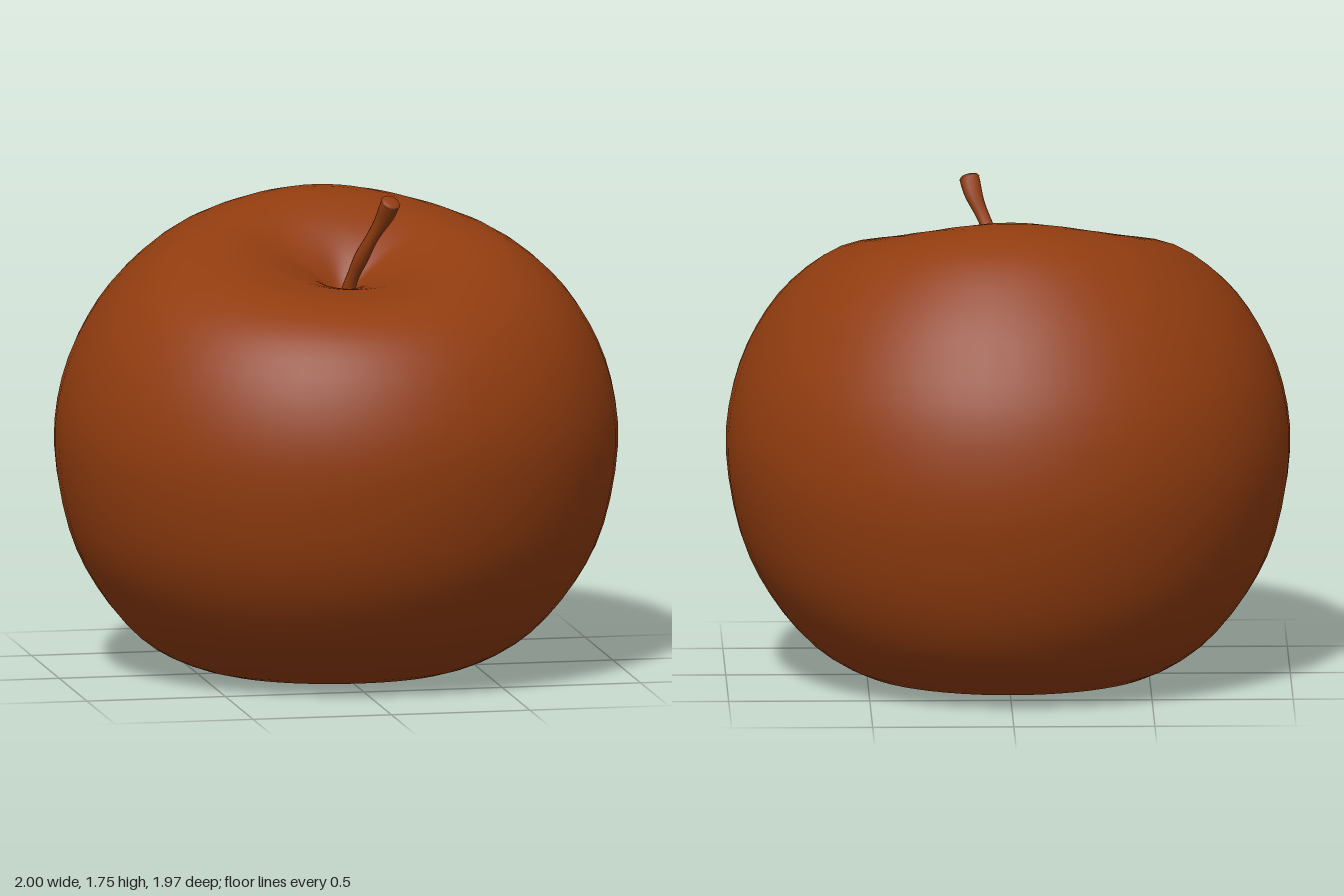
import * as THREE from 'three';
import { mergeVertices } from 'three/addons/utils/BufferGeometryUtils.js';

// Outlines from the calyx hollow up and over into the stem hollow: [distance from x = z = 0, height]
const SIDE = [[0, .16], [.08, .13], [.18, .06], [.36, .01], [.53, .04], [.70, .14], [.85, .32], [.95, .53], [1, .82],
  [.975, 1.05], [.895, 1.25], [.77, 1.42], [.59, 1.55], [.38, 1.58], [.22, 1.53], [.10, 1.45], [0, 1.36]];
const FRONT = [[0, .16], [.08, .13], [.18, .06], [.34, .015], [.52, .07], [.70, .19], [.85, .37], [.94, .57], [.985, .82],
  [.975, 1.02], [.91, 1.21], [.80, 1.35], [.64, 1.425], [.45, 1.44], [.30, 1.425], [.20, 1.405], [.10, 1.36]];
const BACK = [[0, .16], [.08, .13], [.18, .07], [.36, .03], [.56, .04], [.74, .15], [.86, .31], [.94, .52], [.985, .80],
  [.95, 1.08], [.85, 1.30], [.73, 1.47], [.57, 1.62], [.38, 1.69], [.20, 1.67], [.03, 1.56], [-.10, 1.36]];

function smoothOutline(points) {
  const curve = new THREE.CatmullRomCurve3(points.map(([r, y]) => new THREE.Vector3(r, y, 0)), false, 'catmullrom', 0.5);
  return curve.getPoints(48);
}

// Shared-vertex copy so that the normals are smooth across seams
function smooth(geometry) {
  geometry.deleteAttribute('uv');
  geometry.deleteAttribute('normal');
  const merged = mergeVertices(geometry, 1e-5);
  merged.computeVertexNormals();
  return merged;
}

// Revolved outline, blended between front, side and back so the top leans forward
function bodyGeometry() {
  const side = smoothOutline(SIDE), front = smoothOutline(FRONT), back = smoothOutline(BACK);
  const segments = 56, rows = side.length;
  const geometry = new THREE.LatheGeometry(side.map(p => new THREE.Vector2(p.x, p.y)), segments);
  const position = geometry.attributes.position;
  for (let i = 0; i <= segments; i++) {
    const angle = (i % segments) / segments * Math.PI * 2;
    const c = Math.cos(angle), s = Math.sin(angle);
    for (let j = 0; j < rows; j++) {
      const end = c > 0 ? front[j] : back[j];
      const middle = (front[j].x - back[j].x) / 2;
      const half = (front[j].x + back[j].x) / 2;
      position.setXYZ(i * rows + j, side[j].x * s,
        THREE.MathUtils.lerp(side[j].y, end.y, Math.abs(c)), middle + half * c);
    }
  }
  return smooth(geometry);
}

// Bent stalk, swelling to a blunt tip
function stemGeometry() {
  const path = new THREE.CatmullRomCurve3([[0, 1.33, .13], [.025, 1.45, .18], [.07, 1.58, .25],
    [.115, 1.68, .30], [.13, 1.735, .335]].map(p => new THREE.Vector3(...p)));
  const rings = 20, sides = 10;
  const geometry = new THREE.TubeGeometry(path, rings, 1, sides);
  const position = geometry.attributes.position, v = new THREE.Vector3();
  for (let i = 0; i <= rings; i++) {
    const t = i / rings, centre = path.getPointAt(t);
    const radius = .025 + .012 * THREE.MathUtils.smoothstep(t, .75, 1) + .002 * Math.sin(t * 17);
    for (let j = 0; j <= sides; j++) {
      const k = i * (sides + 1) + j;
      v.fromBufferAttribute(position, k).sub(centre).multiplyScalar(radius).add(centre);
      position.setXYZ(k, v.x, v.y, v.z);
    }
  }
  return { geometry: smooth(geometry), tip: path.getPointAt(1), direction: path.getTangentAt(1) };
}

export function createModel() {
  const group = new THREE.Group();
  const skin = new THREE.MeshStandardMaterial({ color: 0x913c0f });
  skin.name = 'russet skin';

  const add = (name, geometry, parent = group) => {
    const mesh = new THREE.Mesh(geometry, skin);
    mesh.name = name;
    parent.add(mesh);
    return mesh;
  };

  add('fruitBody', bodyGeometry());

  const stem = stemGeometry();
  add('stem', stem.geometry);
  const tip = add('stemTip', new THREE.SphereGeometry(.037, 10, 6));
  tip.scale.y = .3;
  tip.position.copy(stem.tip);
  tip.quaternion.setFromUnitVectors(new THREE.Vector3(0, 1, 0), stem.direction);

  // Withered sepals in the hollow underneath
  const calyx = new THREE.Group();
  calyx.name = 'calyx';
  group.add(calyx);
  for (let i = 0; i < 5; i++) {
    const pivot = new THREE.Group();
    pivot.name = 'sepalPivot';
    pivot.rotation.y = i / 5 * Math.PI * 2 + .3;
    calyx.add(pivot);
    const sepal = add('sepal', new THREE.SphereGeometry(.06, 10, 8), pivot);
    sepal.scale.set(.5, .3, 1);
    sepal.position.set(0, .1, .065);
    sepal.rotation.x = .5 + .15 * (i % 3);
  }
  return group;
}
